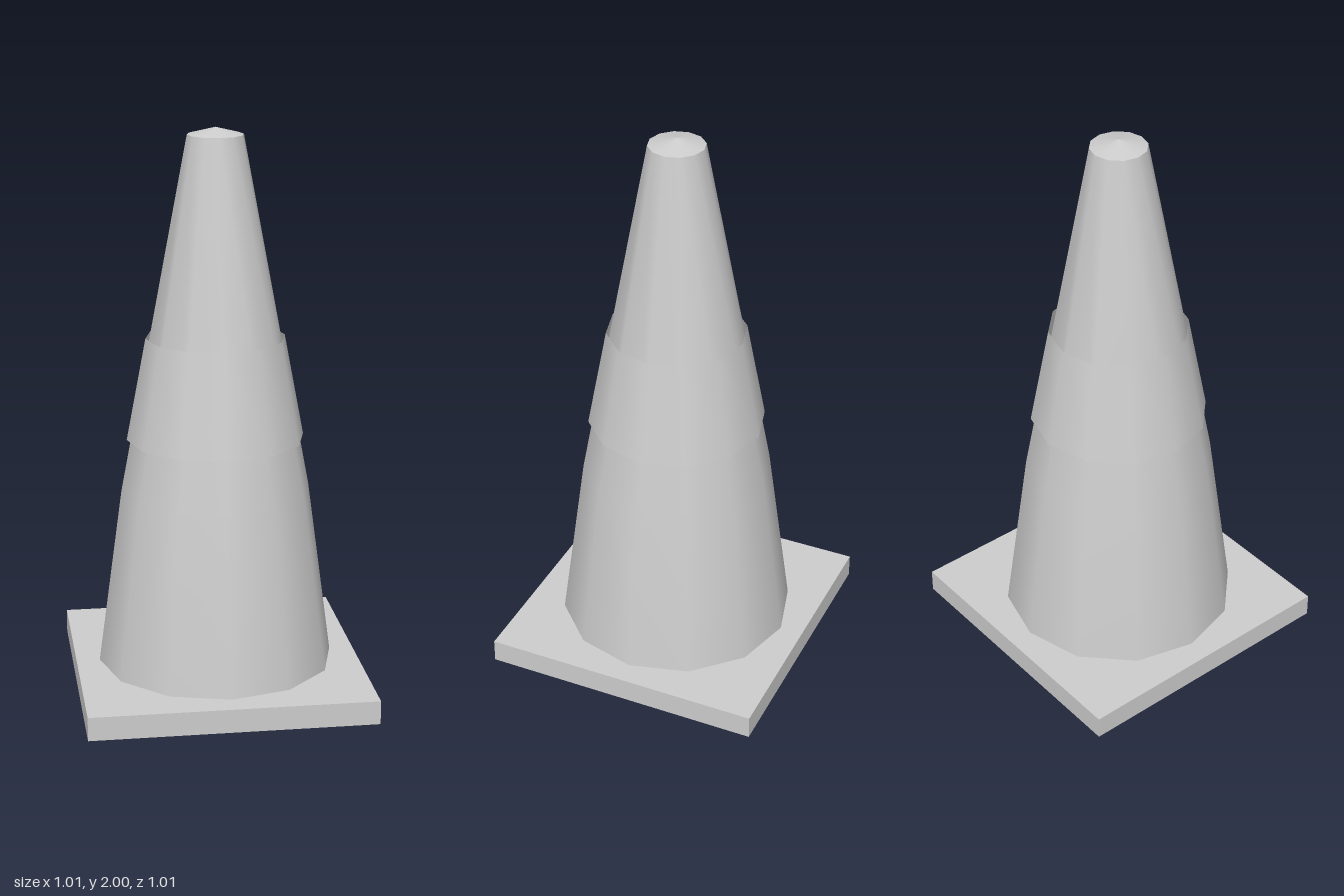
import * as THREE from 'three';

const SIDES = 12;

export function createModel() {
  const group = new THREE.Group();
  const grey = new THREE.MeshStandardMaterial({ color: 0xcccccc, side: THREE.DoubleSide });
  grey.name = 'light grey';

  const add = (name, geometry) => {
    const mesh = new THREE.Mesh(geometry, grey);
    mesh.name = name;
    group.add(mesh);
    return mesh;
  };
  // Twelve-sided shell from [radius, height] pairs, listed bottom to top
  const shell = (name, profile) =>
    add(name, new THREE.LatheGeometry(profile.map(([r, y]) => new THREE.Vector2(r, y)), SIDES));

  // Square foot plate
  add('base', new THREE.BoxGeometry(1.01, 0.085, 1.01)).position.y = 0.0425;

  // Tapered body with a slight change of slope
  shell('coneBody', [[0.421, 0.085], [0.335, 0.72], [0.098, 1.975]]);

  // Shallow pointed cap, kept separate for a sharp rim
  shell('coneCap', [[0.098, 1.975], [0, 2]]);

  // Open sleeve standing just off the body
  shell('collar', [[0.314, 0.907], [0.245, 1.27]]);

  return group;
}
